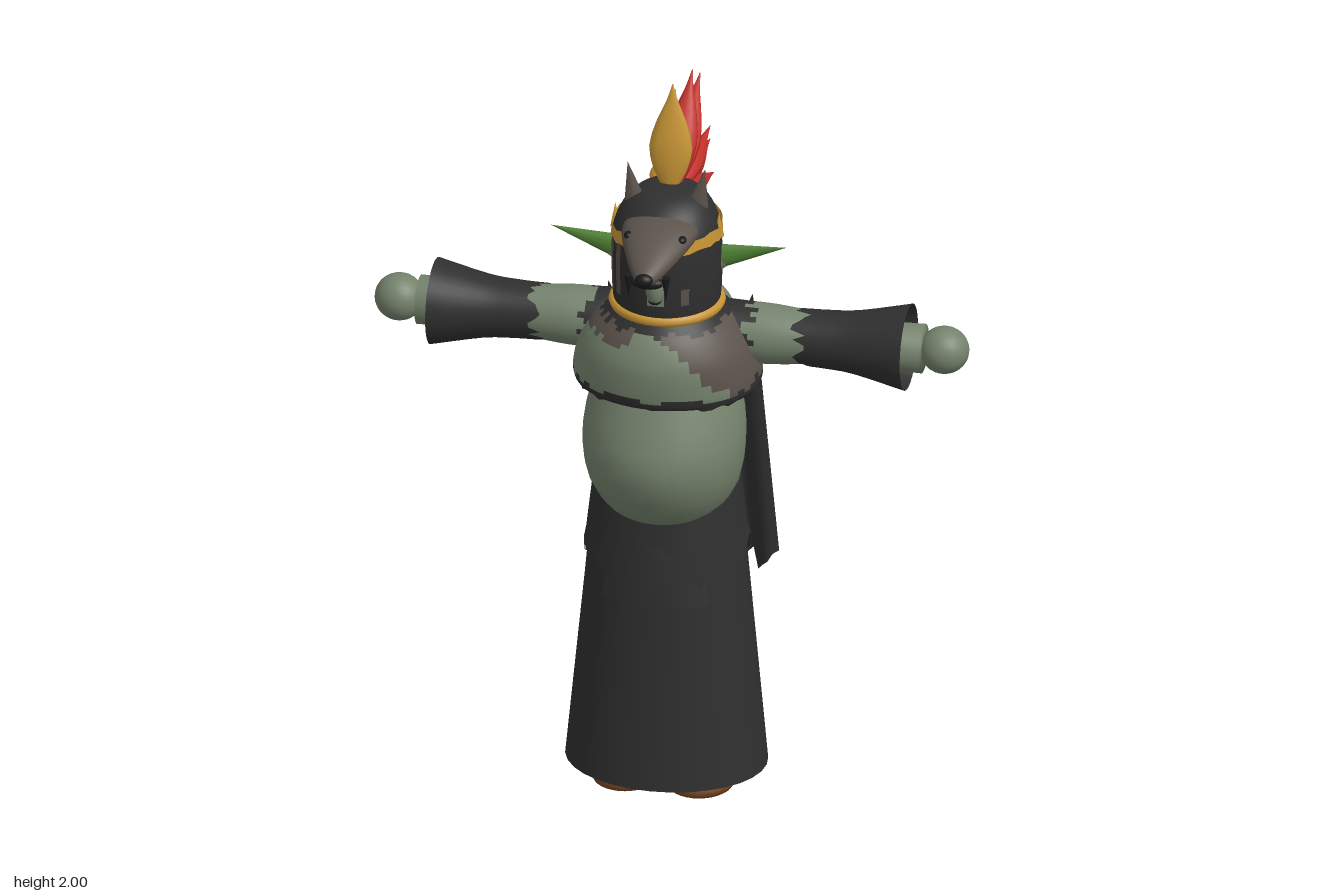
import * as THREE from 'three';

const mat = (name, color) => {
  const m = new THREE.MeshStandardMaterial({ color, side: THREE.DoubleSide });
  m.name = name;
  return m;
};
const noise = (n) => { const s = Math.sin(n * 127.1 + 3.7) * 43758.5453; return s - Math.floor(s); };

// Skin over elliptical sections [y, rx, rz, cz] running upwards. "paint" picks a
// material index per face; "hem" shifts the lowest ring; "rim" shifts the top ring.
function loft(points, { seg = 32, steps = 1, paint = () => 0, hem, rim } = {}) {
  const flat = new Float32Array(points.flatMap(([y, rx, rz = rx, cz = 0]) => [y, rx, rz, cz]));
  const curve = new THREE.CubicInterpolant(new Float32Array(points.map((_, i) => i)), flat, 4);
  const rows = (points.length - 1) * steps;
  const pos = [], faces = [];
  for (let j = 0; j <= rows; j++) {
    const [y, rx, rz, cz] = curve.evaluate(j / steps);
    for (let i = 0; i < seg; i++) {
      const a = (i / seg) * Math.PI * 2;
      let dy = 0;
      if (j === 0 && hem) dy = hem(a, i);
      if (j === rows && rim) dy = rim(a, i);
      pos.push(rx * Math.sin(a), y + dy, cz + rz * Math.cos(a));
    }
  }
  for (let j = 0; j < rows; j++) for (let i = 0; i < seg; i++) {
    const k = (i + 1) % seg, A = j * seg + i, B = j * seg + k, C = B + seg, D = A + seg;
    const x = (pos[A * 3] + pos[C * 3]) / 2, y = (pos[A * 3 + 1] + pos[C * 3 + 1]) / 2;
    const z = (pos[A * 3 + 2] + pos[C * 3 + 2]) / 2;
    const p = paint(x, y, z, noise(i * 3.1 + j * 7.7), noise(i));
    (faces[p] ??= []).push(A, B, C, A, C, D);
  }
  const g = new THREE.BufferGeometry();
  g.setAttribute('position', new THREE.Float32BufferAttribute(pos, 3));
  const index = [];
  faces.forEach((f, p) => { g.addGroup(index.length, f.length, p); index.push(...f); });
  g.setIndex(index);
  g.computeVertexNormals();
  return g;
}

export function createModel() {
  const root = new THREE.Group();
  const skin = mat('greenSkin', 0x75836d), cloth = mat('darkCloth', 0x2f2f30);
  const fur = mat('greyBrownFur', 0x5b524b), gold = mat('goldTrim', 0xc99636);
  const red = mat('redFeather', 0xc23029), leaf = mat('leafGreen', 0x4f8034);
  const leather = mat('brownLeather', 0x7d4a24), black = mat('blackNose', 0x1b1b1d);

  const add = (name, geometry, material, x = 0, y = 0, z = 0) => {
    const m = new THREE.Mesh(geometry, material);
    m.name = name;
    m.position.set(x, y, z);
    root.add(m);
    return m;
  };
  const ball = (name, material, p, s) => {
    const m = add(name, new THREE.SphereGeometry(1, 24, 16), material, ...p);
    m.scale.set(...s);
    return m;
  };
  const UP = new THREE.Vector3(0, 1, 0);
  const aim = (m, x, y, z) => m.quaternion.setFromUnitVectors(UP, new THREE.Vector3(x, y, z).normalize());

  // Long robe and ragged overskirt
  add('robeSkirt', loft([[0.05, 0.27, 0.217, 0.057], [0.58, 0.22, 0.18, 0.047], [0.86, 0.195, 0.155, 0.045]]), [cloth]);
  add('raggedOverskirt', loft([[0.62, 0.222, 0.19, 0.046], [0.75, 0.212, 0.178, 0.046], [0.9, 0.195, 0.155, 0.045]], {
    seg: 48, hem: (a, i) => 0.07 * Math.abs(Math.sin(a)) + 0.1 * noise(i) - 0.06,
  }), [cloth]);

  // Hanging front panel
  const panel = new THREE.PlaneGeometry(1, 0.22, 12, 6);
  const pp = panel.attributes.position;
  for (let i = 0; i < pp.count; i++) {
    const u = pp.getX(i) * 2, v = 0.5 - pp.getY(i) / 0.22;
    pp.setX(i, u * (0.11 + 0.035 * v));
    pp.setZ(i, 0.205 + 0.04 * Math.sqrt(v) - 0.045 * u * u);
  }
  panel.computeVertexNormals();
  add('frontPanel', panel, cloth, 0, 0.69, 0);

  // Belly
  add('belly', loft([[0.78, 0.1, 0.1, 0.075], [0.82, 0.155, 0.15, 0.075], [0.9, 0.2, 0.198, 0.083],
    [1.0, 0.216, 0.217, 0.088], [1.1, 0.21, 0.205, 0.07], [1.22, 0.18, 0.175, 0.05]], { steps: 2 }), [skin]);

  // Chest with torn vest
  add('chest', loft([[1.16, 0.245, 0.208, 0.04], [1.2, 0.252, 0.22, 0.04], [1.28, 0.235, 0.226, 0.036],
    [1.34, 0.2, 0.2, 0.04], [1.38, 0.16, 0.165, 0.045], [1.41, 0.13, 0.135, 0.05]], {
    seg: 56, steps: 4, hem: (a, i) => 0.03 * noise(i),
    paint: (x, y, z, n, c) => {
      if (y < 1.185 + 0.025 * c || y > 1.36 + 0.02 * c) return 1;
      if (z > 0.02 && x > 0.19 - (y - 1.2) * 1.1 + 0.02 * c) return 2;
      if (z > 0.02 && x < -0.06 && y > 1.325 + 0.015 * c) return 2;
      return z < 0 && Math.abs(x) > 0.17 ? 1 : 0;
    },
  }), [skin, cloth, fur]);
  ball('hunchedBack', skin, [0, 1.3, -0.065], [0.16, 0.115, 0.13]);

  // Ragged cape
  const cape = new THREE.PlaneGeometry(2, 1, 32, 12);
  const cp = cape.attributes.position;
  for (let i = 0; i < cp.count; i++) {
    const u = cp.getX(i), v = 0.5 - cp.getY(i), col = i % 33;
    const top = 1.2 + 0.15 * Math.abs(u) ** 3, bottom = 0.52 + 0.07 * (noise(col) - 0.6);
    cp.setXYZ(i, u * (0.195 + 0.04 * v) + 0.01 * v, THREE.MathUtils.lerp(top, bottom, v),
      -0.148 - 0.07 * v + 0.014 * Math.cos(u * 14) * (0.3 + v) + 0.03 * u * u * (1 - v));
  }
  cape.computeVertexNormals();
  add('cape', cape, cloth);

  for (const s of [1, -1]) {
    // Arms, flared sleeves and hands
    const limb = (name, geometry, mats) => { add(name, geometry, mats, 0, 1.296, -0.005).rotation.z = -s * Math.PI / 2; };
    limb('upperArm', loft([[0.1, 0.085], [0.2, 0.082], [0.28, 0.08], [0.4, 0.068]], {
      steps: 4, paint: (x, y, z, n, c) => (y < 0.19 + 0.05 * c ? 1 : 0),
    }), [skin, cloth]);
    limb('flaredSleeve', loft([[0.36, 0.076], [0.42, 0.078], [0.5, 0.085], [0.64, 0.116]], {
      seg: 36, steps: 3, hem: (a, i) => -0.05 * noise(i) + 0.02,
    }), [cloth]);
    limb('wrist', loft([[0.4, 0.06], [0.68, 0.066], [0.681, 0.001]]), [skin]);
    ball('hand', skin, [s * 0.735, 1.296, -0.01], [0.066, 0.064, 0.064]);

    // Legs and shoes
    add('leg', new THREE.CylinderGeometry(0.07, 0.055, 0.5, 16), skin, s * 0.095, 0.3, 0.06);
    add('shoe', loft([[0, 0.001, 0.001], [0.001, 0.088, 0.098], [0.02, 0.098, 0.106], [0.04, 0.09, 0.098],
      [0.065, 0.055, 0.06], [0.07, 0.001, 0.001]]), [leather], s * 0.1, 0, 0.098);
    add('ankleBand', new THREE.TorusGeometry(0.057, 0.01, 8, 20).rotateX(Math.PI / 2), leather, s * 0.095, 0.11, 0.06);

    // Pointed ears with a skin-coloured inner lobe
    const ear = add('pointedEar', new THREE.ConeGeometry(0.038, 0.2, 12).scale(1, 1, 0.55), leaf, s * 0.22, 1.553, 0.035);
    aim(ear, s, 0.22, -0.03);
    const lobe = add('innerEar', new THREE.ConeGeometry(0.034, 0.09, 12).scale(1, 1, 0.7), skin, s * 0.165, 1.533, 0.038);
    aim(lobe, s, 0.35, 0);

    // Mask ears, fangs and band studs
    const maskEar = add('maskEar', new THREE.ConeGeometry(0.036, 0.14, 8).scale(1, 1, 0.5), fur, s * 0.092, 1.73, 0.06);
    maskEar.rotation.z = -s * 0.18;
    const fang = add('maskFang', new THREE.ConeGeometry(0.012, 0.07, 6), black, s * 0.05, 1.555, 0.3);
    fang.rotation.x = Math.PI;
    add('bandStud', new THREE.ConeGeometry(0.014, 0.07, 6), gold, s * 0.14, 1.635, 0.05);
    ball('maskEye', black, [s * 0.072, 1.655, 0.2], [0.012, 0.01, 0.015]);
  }

  // Hooded head with torn patches around the face
  add('hoodedHead', loft([[1.37, 0.135, 0.137, 0.05], [1.45, 0.145, 0.148, 0.052], [1.6, 0.145, 0.148, 0.052],
    [1.66, 0.128, 0.13, 0.045], [1.7, 0.1, 0.1, 0.035], [1.722, 0.06, 0.06, 0.025], [1.728, 0.001, 0.001, 0.02]], {
    seg: 40, steps: 3,
    paint: (x, y, z, n, c) => {
      if (z < 0.1 || y > 1.6 || y < 1.44) return 0;
      if (Math.abs(x) < 0.03) return 2;
      return Math.abs(x) > 0.045 && c > 0.5 && n > 0.25 ? 1 : 0;
    },
  }), [cloth, fur, skin]);
  add('neckBand', new THREE.TorusGeometry(0.14, 0.015, 8, 40).rotateX(Math.PI / 2), gold, 0, 1.402, 0.05);
  add('headBand', loft([[1.606, 0.148, 0.151, 0.051], [1.632, 0.146, 0.149, 0.05]], {
    seg: 40, hem: (a, i) => -0.012 * noise(i), rim: (a, i) => 0.012 * noise(i + 50),
  }), [gold]);

  // Animal mask snout, nose and chin
  const snout = add('maskSnout', loft([[0.06, 0.105, 0.045, -1.645], [0.16, 0.1, 0.046, -1.643], [0.25, 0.07, 0.038, -1.622],
    [0.32, 0.036, 0.026, -1.6], [0.343, 0.018, 0.014, -1.597], [0.348, 0.001, 0.001, -1.597]], { seg: 24, steps: 2 }), [fur]);
  snout.rotation.x = Math.PI / 2;
  ball('maskNose', black, [0, 1.599, 0.343], [0.024, 0.018, 0.018]);
  ball('maskLip', black, [0, 1.572, 0.3], [0.045, 0.018, 0.022]);
  ball('longNose', skin, [0, 1.51, 0.2], [0.026, 0.055, 0.03]);
  ball('openMouth', black, [0, 1.47, 0.203], [0.018, 0.01, 0.02]);

  // Feather crest: tip position, material, width
  const feathers = [
    [0, 2.0, -0.02, gold, 0.06], [0.025, 1.98, -0.15, red, 0.045], [0.02, 1.91, -0.27, red, 0.045],
    [-0.02, 1.8, -0.35, gold, 0.045], [0.03, 1.675, -0.35, red, 0.035], [0.045, 1.75, -0.28, red, 0.035],
    [-0.07, 1.69, -0.22, gold, 0.035], [0.07, 1.65, -0.21, red, 0.03], [-0.04, 1.87, -0.24, gold, 0.035],
  ];
  for (const [x, y, z, m, w] of feathers) {
    const base = new THREE.Vector3(x * 0.3, 1.7, 0.02), d = new THREE.Vector3(x, y, z).sub(base), L = d.length();
    const f = add('crestFeather', loft([[0, 0.012, 0.008], [L * 0.2, w * 0.75, 0.02], [L * 0.42, w, 0.024],
      [L * 0.65, w * 0.7, 0.017], [L * 0.85, w * 0.25, 0.008], [L, 0.001, 0.001]], { seg: 10, steps: 2 }), [m]);
    f.position.copy(base);
    aim(f, d.x, d.y, d.z);
  }
  return root;
}
